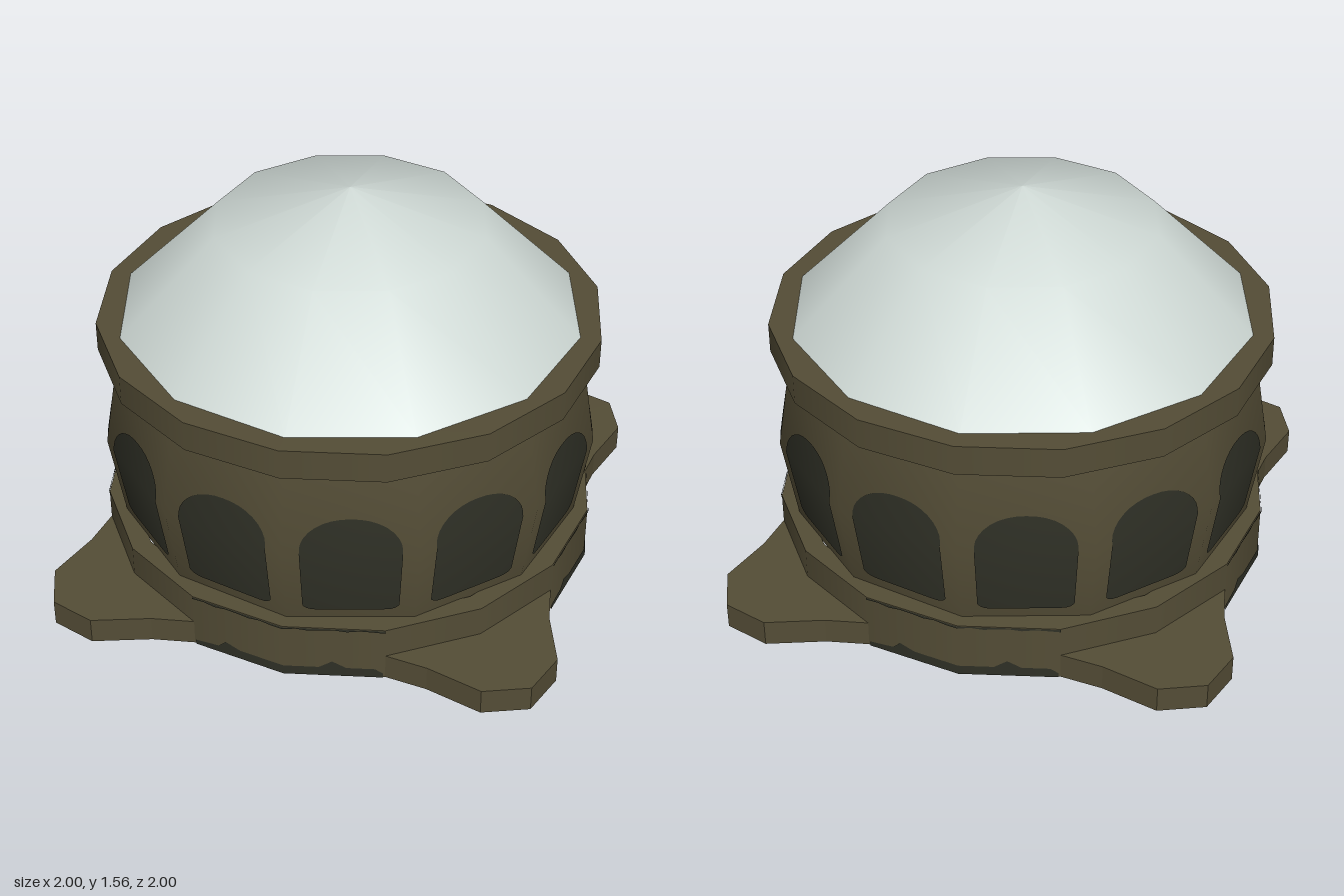
import * as THREE from 'three';

const olive = new THREE.MeshStandardMaterial({ name: 'olive', color: 0x544d36, side: THREE.DoubleSide });
const dark = new THREE.MeshStandardMaterial({ name: 'dark olive', color: 0x2f3026, side: THREE.DoubleSide });
const pale = new THREE.MeshStandardMaterial({ name: 'pale grey', color: 0xcdd7d3, side: THREE.DoubleSide });

const RING = 0.98, RING_SIDES = 16, BODY_SIDES = 12;
const WAIST = 0.575, BODY_BOTTOM = 0.22, BODY_TOP = 0.93;
const bodyRadius = (y) => y < WAIST
  ? THREE.MathUtils.mapLinear(y, BODY_BOTTOM, WAIST, 0.922, RING)
  : THREE.MathUtils.mapLinear(y, WAIST, BODY_TOP, RING, 0.922);

function add(parent, name, geometry, material) {
  const mesh = new THREE.Mesh(geometry, material);
  mesh.name = name;
  parent.add(mesh);
  return mesh;
}

function lathe(parent, name, points, sides, material) {
  return add(parent, name, new THREE.LatheGeometry(points.map(([r, y]) => new THREE.Vector2(r, y)), sides), material);
}

// Point on a regular polygon wall; s counts sides from the front towards +x
function wallPoint(s, sides, radius, y) {
  const k = Math.floor(s), t = s - k, step = (2 * Math.PI) / sides;
  const a = k * step, b = a + step;
  return [
    radius * (Math.sin(a) * (1 - t) + Math.sin(b) * t), y,
    radius * (Math.cos(a) * (1 - t) + Math.cos(b) * t),
  ];
}

// Painted face laid on a polygon wall; each column is [s, y0, y1, ...]
function paint(parent, name, columns, sides, radiusAt, slope) {
  for (const offset of [0.004, -0.004]) {
    const pos = [], nor = [], idx = [];
    const rows = columns[0].length - 1;
    columns.forEach(([s, ...ys], c) => ys.forEach((y, r) => {
      pos.push(...wallPoint(s, sides, radiusAt(y) + offset, y));
      const a = (s * 2 * Math.PI) / sides;
      nor.push(...new THREE.Vector3(Math.sin(a), slope * (y - WAIST), Math.cos(a)).normalize().toArray());
      if (c && r) {
        const d = c * rows + r, l = d - rows;
        idx.push(l - 1, d - 1, d, l - 1, d, l);
      }
    }));
    const g = new THREE.BufferGeometry();
    g.setAttribute('position', new THREE.Float32BufferAttribute(pos, 3));
    g.setAttribute('normal', new THREE.Float32BufferAttribute(nor, 3));
    g.setIndex(idx);
    add(parent, name, g, dark);
  }
}

// Corner foot: flat top and outer walls, open underneath
function makeFoot() {
  const foot = new THREE.Group();
  foot.name = 'foot';
  const h = 0.105;
  const outer = [[0.375, 0.905], [0.54, 0.93], [0.76, 1], [0.935, 0.935], [1, 0.76], [0.93, 0.54], [0.905, 0.375]];
  const shape = new THREE.Shape([...outer, [0.69, 0.69]].map(([x, z]) => new THREE.Vector2(x, -z)));
  const top = new THREE.ShapeGeometry(shape);
  top.rotateX(Math.PI / 2);
  // face the top upwards
  top.scale(1, 1, -1);
  top.rotateX(Math.PI);
  top.translate(0, h, 0);
  const p = top.attributes.position;
  for (let i = 0; i < p.count; i++) p.setZ(i, Math.abs(p.getZ(i)));
  const ix = top.index;
  const at = (i) => new THREE.Vector3().fromBufferAttribute(p, ix.getX(i));
  for (let i = 0; i < ix.count; i += 3) {
    const a = at(i), n = at(i + 1).sub(a).cross(at(i + 2).sub(a));
    if (n.y < 0) {
      const q = ix.getX(i + 1);
      ix.setX(i + 1, ix.getX(i + 2));
      ix.setX(i + 2, q);
    }
  }
  for (let i = 0; i < p.count; i++) top.attributes.normal.setXYZ(i, 0, 1, 0);
  add(foot, 'footTop', top, olive);

  const pos = [];
  for (let i = 0; i + 1 < outer.length; i++) {
    const [ax, az] = outer[i], [bx, bz] = outer[i + 1];
    pos.push(ax, 0, az, bx, 0, bz, bx, h, bz, ax, 0, az, bx, h, bz, ax, h, az);
  }
  const walls = new THREE.BufferGeometry();
  walls.setAttribute('position', new THREE.Float32BufferAttribute(pos, 3));
  walls.computeVertexNormals();
  add(foot, 'footWalls', walls, olive);
  return foot;
}

export function createModel() {
  const model = new THREE.Group();
  model.name = 'domedDrum';

  // Lower ring, open at the bottom
  lathe(model, 'lowerRingWall', [[RING, 0], [RING, 0.23]], RING_SIDES, olive);
  lathe(model, 'lowerRingStep', [[RING, 0.23], [0.9, 0.23]], RING_SIDES, olive);

  // Bulging drum
  lathe(model, 'drum', [[0.922, BODY_BOTTOM], [RING, WAIST], [0.922, BODY_TOP]], BODY_SIDES, olive);

  // Upper ring
  lathe(model, 'upperRingUnderside', [[0.86, 0.92], [RING, 0.92]], RING_SIDES, olive);
  lathe(model, 'upperRingWall', [[RING, 0.92], [RING, 1.04]], RING_SIDES, olive);
  lathe(model, 'upperRingTop', [[RING, 1.04], [0.82, 1.04]], RING_SIDES, olive);

  // Dome
  lathe(model, 'dome', [[0.9, 1.04], [0.525, 1.42], [0, 1.56]], BODY_SIDES, pale);

  // Arched windows, one on each side of the drum
  for (let side = 0; side < BODY_SIDES; side++) {
    const columns = [];
    for (let i = 0; i <= 16; i++) {
      const t = -Math.cos((i / 16) * Math.PI);
      const bottom = 0.275 + 0.025 * Math.pow(Math.abs(t), 12);
      const top = 0.6 + 0.12 * Math.pow(1 - Math.pow(Math.abs(t), 2.2), 0.55);
      columns.push([side + 0.5 + 0.37 * t, bottom, WAIST, top]);
    }
    paint(model, 'window', columns, BODY_SIDES, bodyRadius, 0.45);
  }

  // Worn dark edges on the lower ring between the feet
  const stain = [[-0.98, 0.02], [-0.72, 0.03], [-0.64, 0.06], [-0.48, 0.04], [0, 0.04],
    [0.35, 0.04], [0.48, 0.07], [0.62, 0.04], [0.9, 0.04], [0.98, 0.02]];
  for (let q = 0; q < 4; q++) {
    paint(model, 'lowerStain', stain.map(([s, y]) => [q * 4 + s, 0, y]), RING_SIDES, () => RING, 0);
    const edge = [];
    for (let i = 0; i <= 16; i++) edge.push([q * 4 - 1 + i / 8, 0.222 + 0.004 * Math.sin(i * 2.3), 0.23]);
    paint(model, 'upperStain', edge, RING_SIDES, () => RING, 0);

    const foot = makeFoot();
    foot.rotation.y = (q * Math.PI) / 2;
    model.add(foot);
  }
  return model;
}
